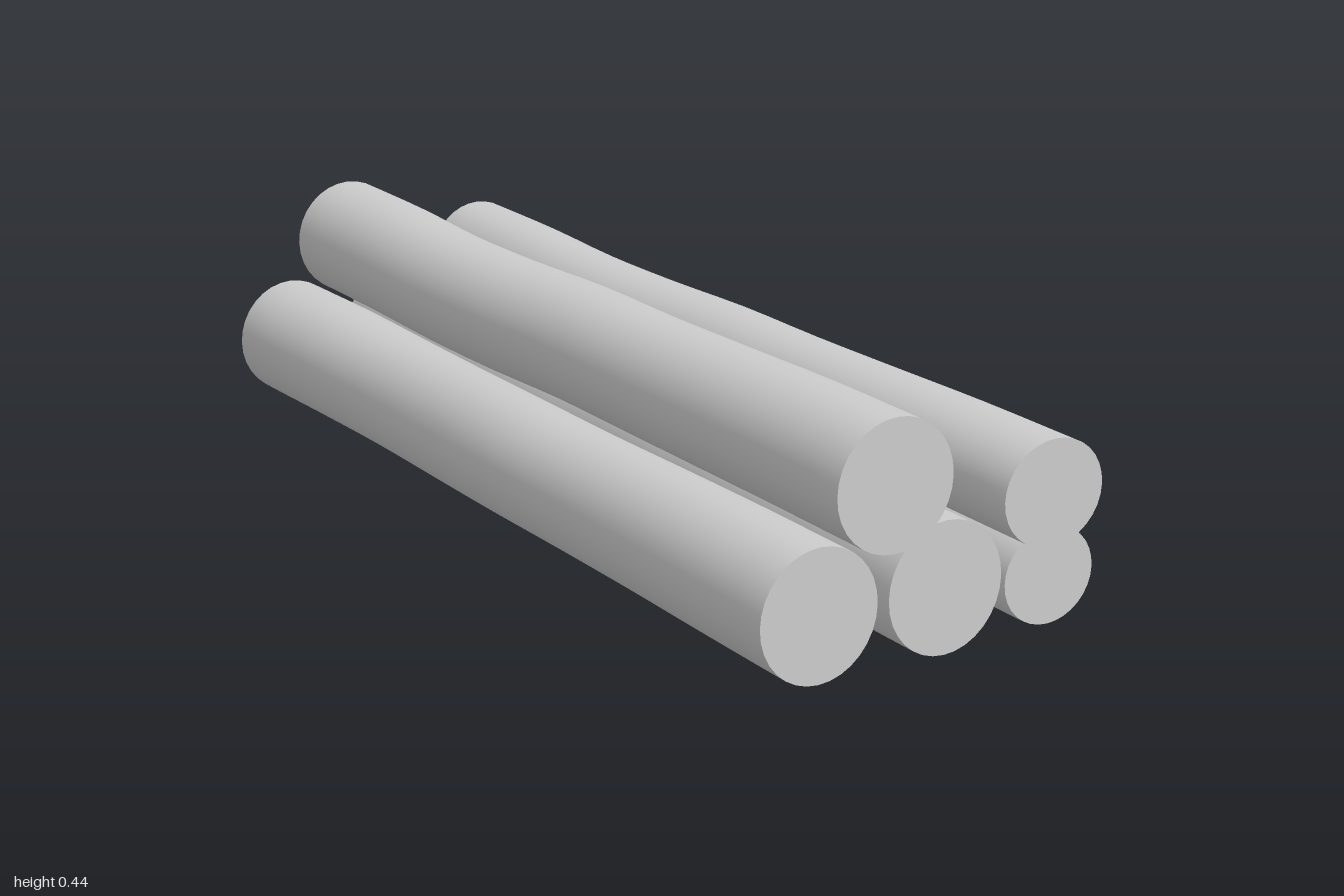
import * as THREE from 'three';
import { toCreasedNormals } from 'three/addons/utils/BufferGeometryUtils.js';

// Gentle bend and thinning along a log, front (0) to back (1), as fractions of its radius
const curve = (values) => new THREE.SplineCurve(
  values.map((v, i) => new THREE.Vector2(i / (values.length - 1), v)));
const bend = curve([0, 0, -0.02, -0.025, -0.02, -0.085, -0.11, -0.06, -0.02]);
const sag = curve([0, 0.015, 0.01, 0, 0.005, -0.025, -0.02, 0.015, 0.01]);
const girth = curve([1, 0.995, 0.97, 0.95, 0.955, 0.95, 0.95, 0.98, 0.99]);

// A slightly crooked log lying along z; flip mirrors the bend
function log(name, { x, y, rx, ry, front, back, flip = 1 }) {
  const length = front - back;
  const geometry = new THREE.CylinderGeometry(1, 1, length, 32, 24);
  geometry.rotateX(Math.PI / 2);
  const p = geometry.attributes.position;
  for (let i = 0; i < p.count; i++) {
    const t = THREE.MathUtils.clamp(0.5 - p.getZ(i) / length, 0, 1);
    const g = girth.getPoint(t).y;
    p.setX(i, rx * (p.getX(i) * g + flip * bend.getPoint(t).y));
    p.setY(i, ry * (p.getY(i) * (0.4 + 0.6 * g) + sag.getPoint(t).y));
  }
  const mesh = new THREE.Mesh(
    toCreasedNormals(geometry, 0.7),
    new THREE.MeshStandardMaterial({ color: 0xcccccc }));
  mesh.name = name;
  mesh.position.set(x, y, (front + back) / 2);
  return mesh;
}

export function createModel() {
  const group = new THREE.Group();
  group.name = 'logPile';
  group.add(
    // Bottom row
    log('bottomRightLog', { x: -0.221, y: 0.12, rx: 0.114, ry: 0.117, front: 0.925, back: -1, flip: -1 }),
    log('bottomMiddleLog', { x: 0.029, y: 0.12, rx: 0.114, ry: 0.117, front: 0.925, back: -1 }),
    log('bottomLeftLog', { x: 0.243, y: 0.101, rx: 0.092, ry: 0.086, front: 0.925, back: -1 }),
    // Top row
    log('topRightLog', { x: -0.091, y: 0.322, rx: 0.114, ry: 0.115, front: 0.945, back: -0.975 }),
    log('topLeftLog', { x: 0.186, y: 0.277, rx: 0.1, ry: 0.093, front: 1, back: -0.925 }),
  );
  return group;
}
